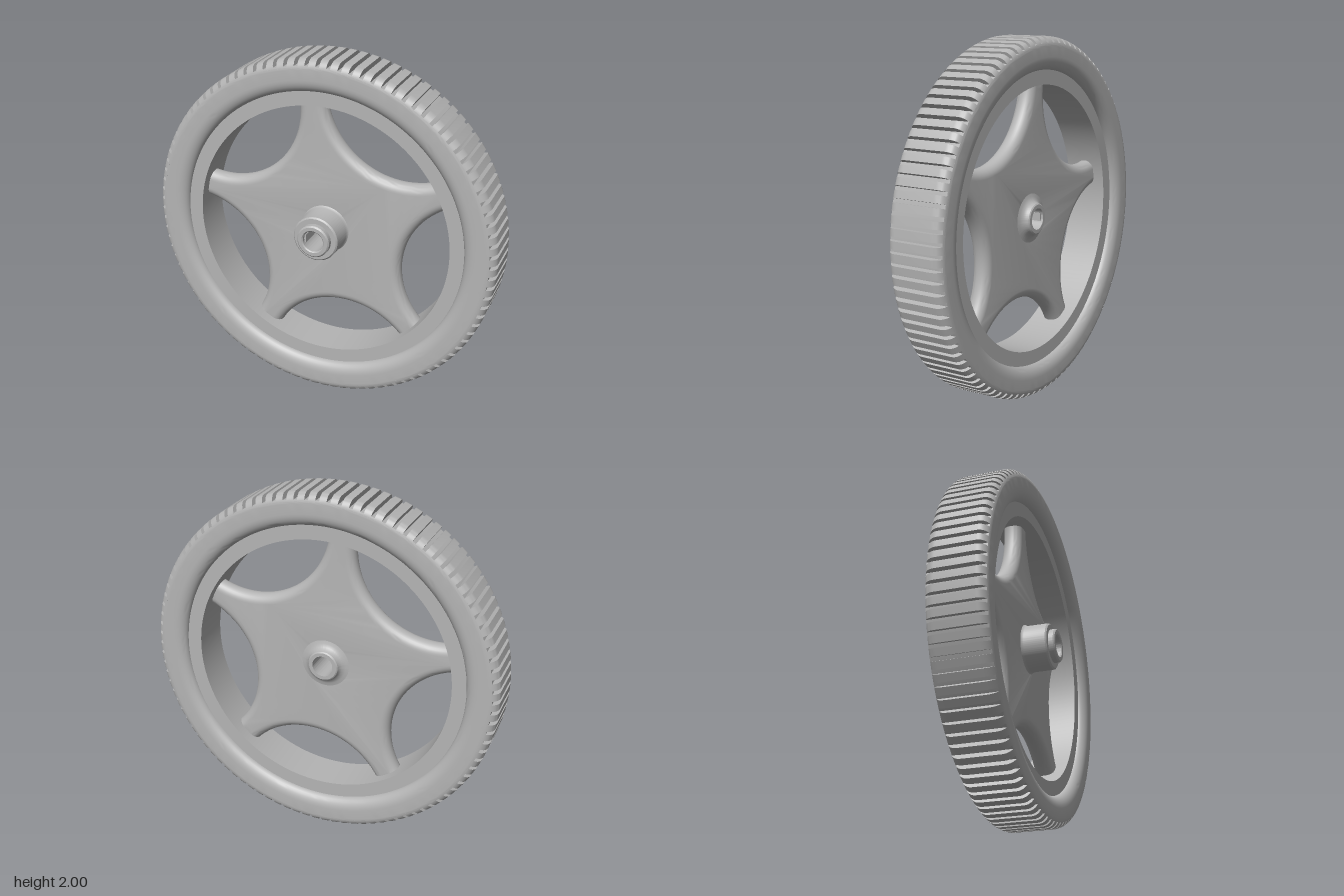
import * as THREE from 'three';
import { mergeGeometries, toCreasedNormals } from 'three/addons/utils/BufferGeometryUtils.js';

const MID = -0.032;      // middle plane of the tyre
const HALF = 0.162;      // half width of the tyre
const FLOOR = 0.966;     // radius of the groove floor
const SHOULDER = 0.055;  // rounding of the outer edges
const TEETH = 100;

// Revolve a closed (radius, z) outline round the z axis
function ring(points) {
  const pts = [...points, points[0]].map(([r, z]) => new THREE.Vector2(r, z));
  return toCreasedNormals(new THREE.LatheGeometry(pts, 160).rotateX(Math.PI / 2), 0.6);
}

// Rounded shoulder from start angle to flat tread, back to front when side = 1
function shoulderPoint(angle, side) {
  return [1 - SHOULDER + SHOULDER * Math.cos(angle),
    MID + side * (HALF - SHOULDER + SHOULDER * Math.sin(angle))];
}

// Tyre carcass up to the groove floor
function tyreGeometry() {
  const half = [];
  const floorAngle = Math.acos((FLOOR - 1 + SHOULDER) / SHOULDER);
  for (let i = 0; i <= 4; i++) {
    half.push([floorAngle + (Math.PI / 2 - floorAngle) * i / 4]);
  }
  const front = half.map(([a]) => shoulderPoint(a, 1));
  for (let i = 0; i <= 8; i++) {           // soft inner edge
    const a = Math.PI / 2 * i / 8;
    front.push([0.89 - 0.07 * Math.sin(a), MID + HALF - 0.05 * (1 - Math.cos(a))]);
  }
  const back = front.map(([r, z]) => [r, 2 * MID - z]).reverse();
  return ring([...back, ...front]);
}

// One tread block per tooth, with the tyre's rounded shoulders
function treadGeometry() {
  const outline = [[0.955, MID - HALF + 0.004]];
  const end = Math.acos((0.955 - 1 + SHOULDER) / SHOULDER);
  for (let i = 0; i <= 7; i++) outline.push(shoulderPoint(end * (1 - i / 7), -1));
  for (let i = 0; i <= 7; i++) outline.push(shoulderPoint(end * i / 7, 1));
  outline.push([0.955, MID + HALF - 0.004]);
  const shape = new THREE.Shape(outline.map(([r, z]) => new THREE.Vector2(r, z)));
  const width = 0.04;
  const block = toCreasedNormals(
    new THREE.ExtrudeGeometry(shape, { depth: width, bevelEnabled: false })
      .translate(0, 0, -width / 2).rotateX(Math.PI / 2), 0.6);
  const blocks = [];
  for (let i = 0; i < TEETH; i++) {
    blocks.push(block.clone().rotateZ((i + 0.5) / TEETH * Math.PI * 2));
  }
  return mergeGeometries(blocks);
}

// Five-armed star plate with concave, rounded edges
function starGeometry() {
  const centre = 0.915, radius = 0.46, outer = 0.79, bevel = 0.052;
  // half angle of each opening where it meets the outer radius
  const open = Math.acos((outer ** 2 + centre ** 2 - radius ** 2) / (2 * outer * centre));
  const ex = outer * Math.cos(open) - centre, ey = outer * Math.sin(open);
  const sweep = Math.PI - Math.atan2(ey, ex);
  const pts = [];
  for (let k = 0; k < 5; k++) {
    const dir = THREE.MathUtils.degToRad(60.6 + 72 * k);
    const cx = centre * Math.cos(dir), cy = centre * Math.sin(dir);
    for (let i = 0; i <= 28; i++) {
      const a = dir + Math.PI + sweep * (1 - 2 * i / 28);
      pts.push(new THREE.Vector2(cx + radius * Math.cos(a), cy + radius * Math.sin(a)));
    }
  }
  const shape = new THREE.Shape(pts);
  const bore = new THREE.Path();
  bore.absarc(0, 0, 0.074, 0, Math.PI * 2, true);
  shape.holes.push(bore);
  const geo = new THREE.ExtrudeGeometry(shape, {
    depth: 0.006, curveSegments: 24, bevelEnabled: true, bevelSegments: 8,
    bevelSize: bevel, bevelThickness: 0.05, bevelOffset: -bevel,
  });
  return toCreasedNormals(geo.translate(0, 0, MID - 0.003), 0.6);
}

export function createModel() {
  const grey = new THREE.MeshStandardMaterial({ color: 0xb4b4b4 });
  grey.name = 'grey';
  const group = new THREE.Group();
  group.name = 'wheel';
  const add = (name, geometry) => {
    const mesh = new THREE.Mesh(geometry, grey);
    mesh.name = name;
    mesh.position.y = 1;
    group.add(mesh);
  };

  add('tyre', tyreGeometry());
  add('treadBlocks', treadGeometry());

  // Rim band inside the tyre
  const rimHalf = HALF - 0.045;
  add('rim', ring([
    [0.74, MID - rimHalf], [0.83, MID - rimHalf],
    [0.83, MID + rimHalf], [0.74, MID + rimHalf],
  ]));

  add('starSpokes', starGeometry());

  // Stepped hub in front, flared boss behind, open bore through the middle
  add('hub', ring([
    [0.06, -0.13], [0.08, -0.13], [0.087, -0.125], [0.091, -0.11], [0.102, -0.097],
    [0.12, -0.088], [0.15, -0.083], [0.15, -0.06], [0.15, 0.015], [0.138, 0.022],
    [0.131, 0.036], [0.13, 0.157], [0.122, 0.165], [0.094, 0.165], [0.094, 0.192],
    [0.086, 0.2], [0.066, 0.2], [0.06, 0.194],
  ]));

  // Flat key along the bore
  add('boreKey', new THREE.BoxGeometry(0.014, 0.045, 0.29).translate(-0.056, 0, 0.03));

  return group;
}
